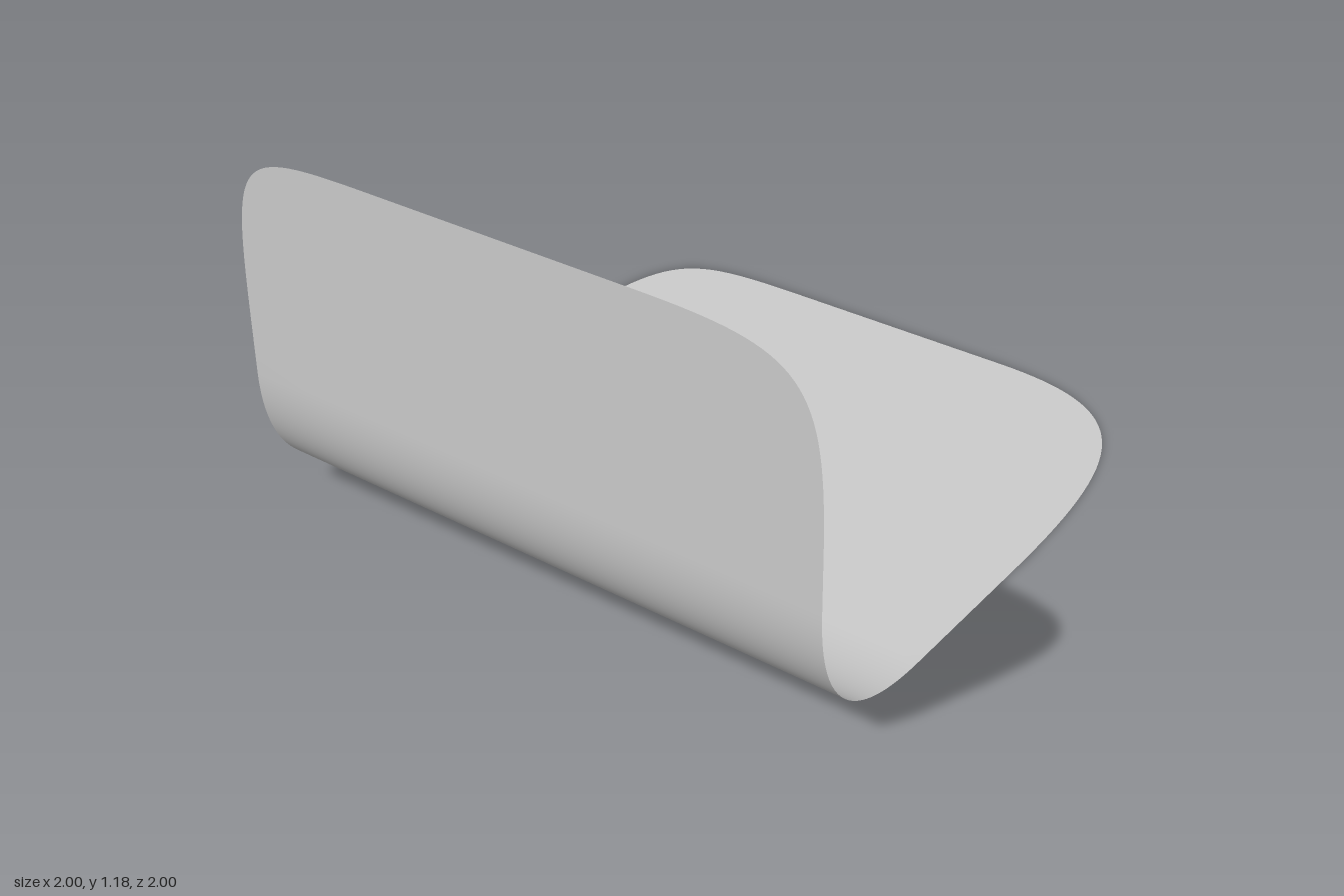
import * as THREE from 'three';

const TOP = 1.185, BEND_X = 0.48, BEND_Y = 0.45;

// Points of a rounded corner from a to b; k is how far the handles reach to the corner
function corner(a, c, b, k, n) {
  const [A, C, B] = [a, c, b].map((p) => new THREE.Vector3(...p));
  const curve = new THREE.CubicBezierCurve3(A, A.clone().lerp(C, k), B.clone().lerp(C, k), B);
  return curve.getPoints(n);
}

// One long edge of the sheet: wall corner, bend into the floor, floor corner
function sideEdge(s, wall, floor) {
  const z = s;
  return [
    ...corner([-1, TOP, s * (1 - wall.z)], [-1, TOP, z], [-1, TOP - wall.y, z], wall.k, 32),
    ...corner([-1, BEND_Y, z], [-1, 0, z], [-1 + BEND_X, 0, z], 2 / 3, 32),
    ...corner([1 - floor.x, 0, z], [1, 0, z], [1, 0, s * (1 - floor.z)], floor.k, 32),
  ];
}

// Sheet spanned between two edges with equal point counts
function ruledSheet(edgeA, edgeB, across) {
  const pos = [], index = [], w = across + 1;
  edgeA.forEach((a, i) => {
    for (let j = 0; j <= across; j++) {
      const p = a.clone().lerp(edgeB[i], j / across);
      pos.push(p.x, p.y, p.z);
      if (i < edgeA.length - 1 && j < across) {
        const q = i * w + j;
        index.push(q, q + w, q + 1, q + 1, q + w, q + w + 1);
      }
    }
  });
  const geo = new THREE.BufferGeometry();
  geo.setAttribute('position', new THREE.Float32BufferAttribute(pos, 3));
  geo.setIndex(index);
  geo.computeVertexNormals();
  return geo;
}

export function createModel() {
  const group = new THREE.Group();
  group.name = 'bentPanel';
  const material = new THREE.MeshStandardMaterial({ color: 0xcccccc, side: THREE.DoubleSide });

  // Front corners are rounder than the back ones
  const front = sideEdge(1, { z: 0.57, y: 0.57, k: 0.9 }, { x: 1, z: 0.62, k: 0.78 });
  const back = sideEdge(-1, { z: 0.55, y: 0.6, k: 0.98 }, { x: 0.95, z: 0.6, k: 0.98 });

  const sheet = new THREE.Mesh(ruledSheet(front, back, 8), material);
  sheet.name = 'curvedSheet';
  group.add(sheet);
  return group;
}
